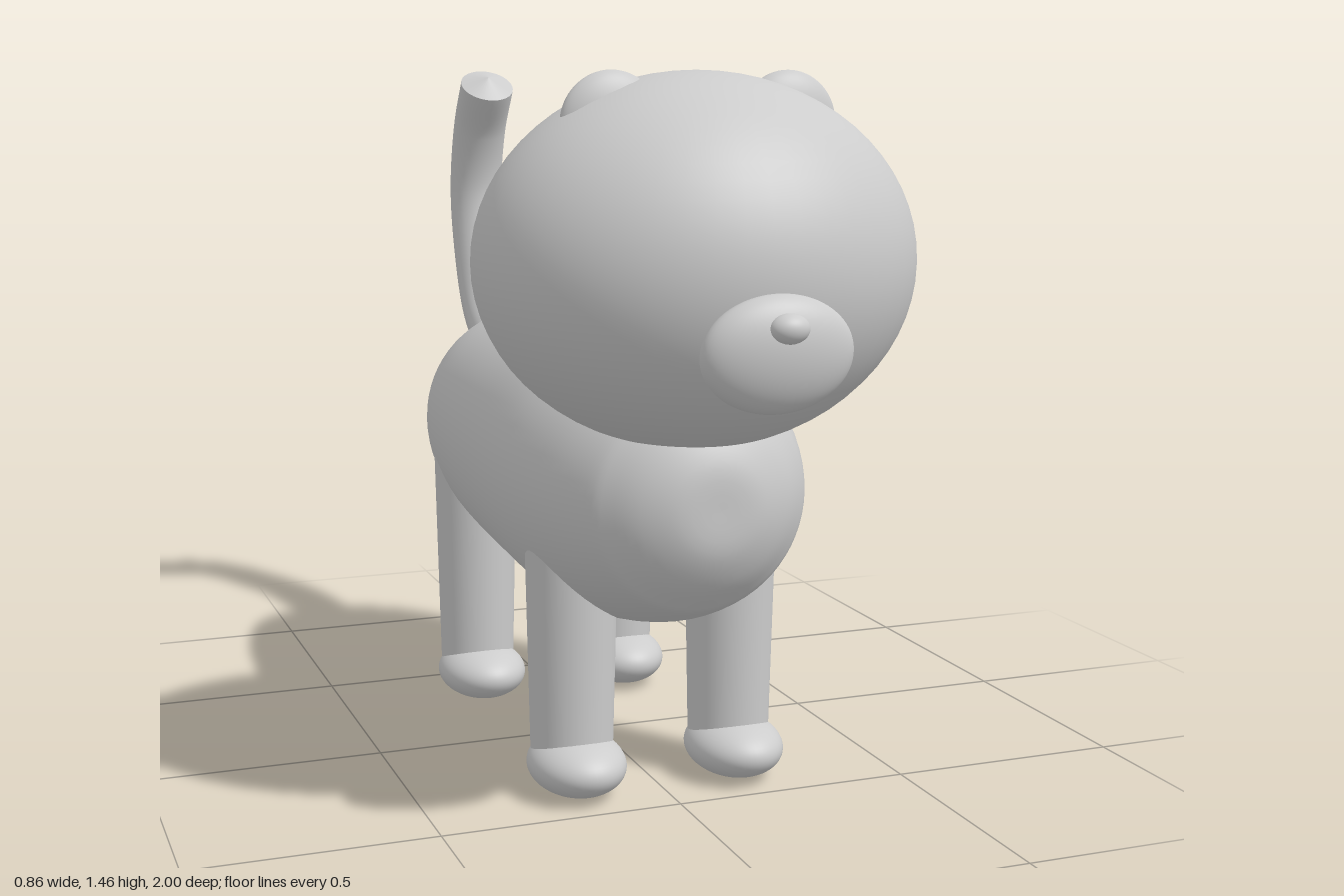
import * as THREE from 'three';

export function createModel() {
  const cat = new THREE.Group();
  cat.name = 'cat';
  const grey = new THREE.MeshStandardMaterial({ color: 0xcccccc });
  grey.name = 'plainGrey';

  function add(name, geometry, x = 0, y = 0, z = 0) {
    const mesh = new THREE.Mesh(geometry, grey);
    mesh.name = name;
    mesh.position.set(x, y, z);
    cat.add(mesh);
    return mesh;
  }
  function ellipsoid(name, [x, y, z], [rx, ry, rz]) {
    const mesh = add(name, new THREE.SphereGeometry(1, 48, 32), x, y, z);
    mesh.scale.set(rx, ry, rz);
    return mesh;
  }

  // Body: a rounded barrel lying along z, slightly slimmer at the back
  const profile = [
    [0, -0.70], [0.08, -0.693], [0.13, -0.678], [0.17, -0.65], [0.21, -0.605], [0.24, -0.545],
    [0.275, -0.40], [0.293, -0.20], [0.303, 0], [0.31, 0.2], [0.302, 0.33], [0.272, 0.465],
    [0.23, 0.57], [0.2, 0.61], [0.15, 0.655], [0.08, 0.687], [0, 0.69],
  ].map(([r, z]) => new THREE.Vector2(r, z));
  const smooth = new THREE.SplineCurve(profile).getPoints(64);
  smooth.forEach((p) => { p.x = Math.max(p.x, 0); });
  const body = new THREE.LatheGeometry(smooth, 64);
  body.rotateX(Math.PI / 2);
  add('body', body, 0, 0.648, 0);

  // Head, muzzle and nose
  ellipsoid('head', [0, 1.108, 0.548], [0.43, 0.358, 0.38]);
  ellipsoid('muzzle', [0, 0.978, 0.925], [0.145, 0.107, 0.055]).rotation.x = 0.08;
  ellipsoid('nose', [0, 1.028, 0.972], [0.037, 0.027, 0.028]);

  for (const side of [1, -1]) {
    const label = side > 0 ? 'left' : 'right';
    // Small ears just breaking the top of the head
    ellipsoid(label + 'Ear', [side * 0.178, 1.366, 0.572], [0.1, 0.1, 0.04]).rotation.z = -side * 0.2;

    // Legs and paws
    for (const [end, z, pawZ] of [['Front', 0.333, 0.362], ['Back', -0.357, -0.322]]) {
      add(label + end + 'Leg', new THREE.CylinderGeometry(0.096, 0.085, 0.5, 40), side * 0.175, 0.33, z);
      ellipsoid(label + end + 'Paw', [side * 0.175, 0.067, pawZ], [0.1, 0.063, 0.126]);
    }
  }

  // Tail: sweeps back, up and curls forward at the tip
  const path = new THREE.CatmullRomCurve3([
    [0.72, -0.58], [0.765, -0.67], [0.865, -0.825], [1.01, -0.9],
    [1.165, -0.93], [1.32, -0.892], [1.43, -0.82],
  ].map(([y, z]) => new THREE.Vector3(0, y, z)));
  add('tail', new THREE.TubeGeometry(path, 48, 0.066, 32));
  // Shallow cone closing the tail end
  const tip = new THREE.ConeGeometry(0.066, 0.025, 32, 1, true);
  tip.translate(0, 0.0125, 0);
  const end = path.getPoint(1);
  const tailTip = add('tailTip', tip, end.x, end.y, end.z);
  tailTip.quaternion.setFromUnitVectors(new THREE.Vector3(0, 1, 0), path.getTangent(1));

  return cat;
}
